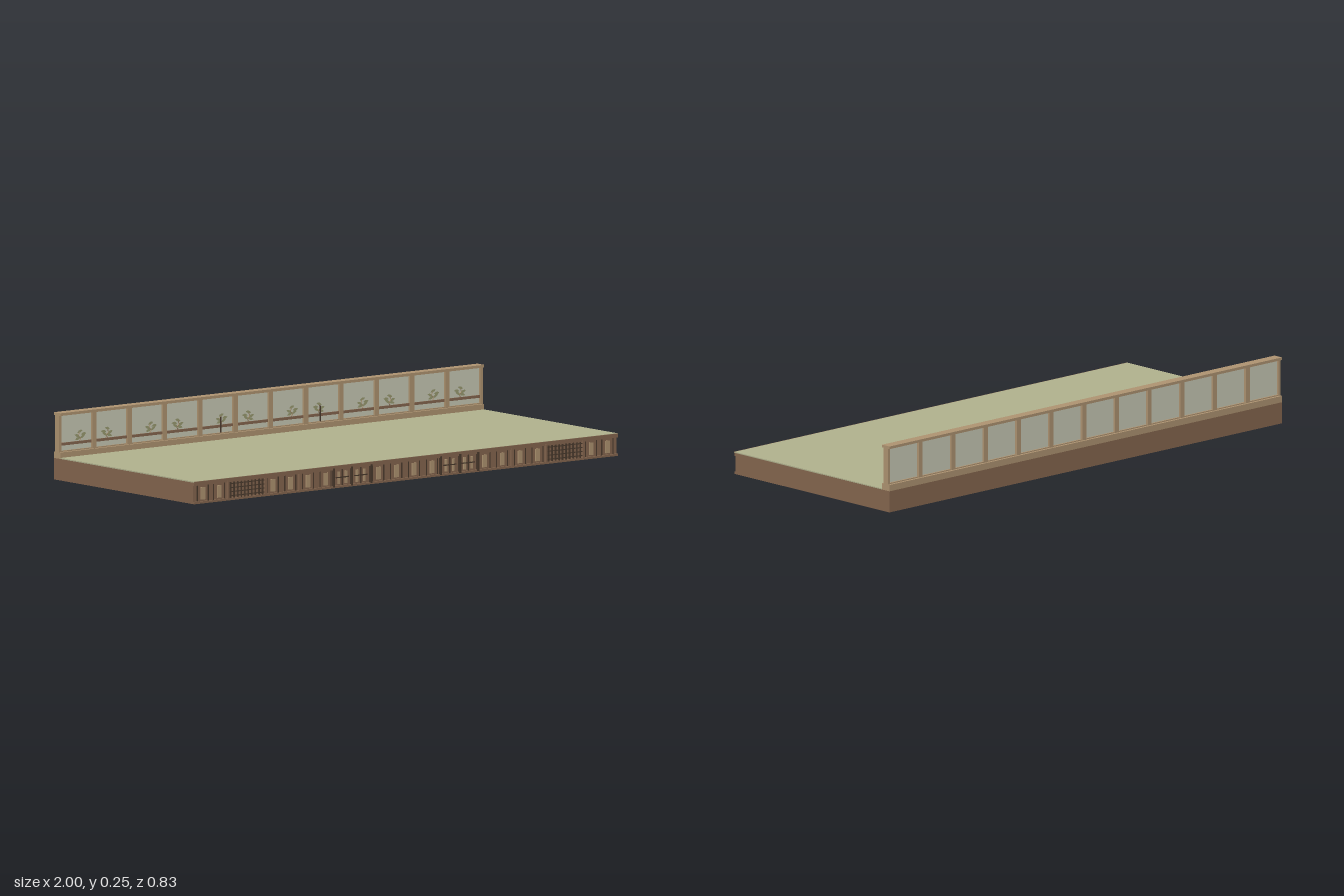
import * as THREE from 'three';

const mat = (name, color, side = THREE.FrontSide) => {
  const m = new THREE.MeshStandardMaterial({ color, side });
  m.name = name;
  return m;
};

export function createModel() {
  const model = new THREE.Group();
  model.name = 'stage';
  const wood = mat('brown wood', 0x86674f);
  const tan = mat('tan wood', 0xb09572);
  const straw = mat('straw mat', 0xb2b38f);
  const paper = mat('pale paper', 0xc9cab6);
  const dark = mat('dark wood', 0x4a3a2d);
  const green = mat('sage foliage', 0x9a9c72, THREE.DoubleSide);

  // Box given by its limits on each axis
  const box = (name, m, x0, x1, y0, y1, z0, z1, parent = model) => {
    const mesh = new THREE.Mesh(new THREE.BoxGeometry(x1 - x0, y1 - y0, z1 - z0), m);
    mesh.position.set((x0 + x1) / 2, (y0 + y1) / 2, (z0 + z1) / 2);
    mesh.name = name;
    parent.add(mesh);
    return mesh;
  };

  // Platform and floor
  box('platform', wood, -1, 1, 0, 0.08, -0.415, 0.406);
  box('floorMat', straw, -1, 1, 0.08, 0.084, -0.375, 0.411);
  box('floorEdge', wood, -1, 1, 0.078, 0.0835, 0.406, 0.415);

  // Back screen frame
  const screen = new THREE.Group();
  screen.name = 'backScreen';
  model.add(screen);
  box('bottomRail', tan, -1, 1, 0.08, 0.104, -0.415, -0.375, screen);
  box('topRail', tan, -1, 1, 0.24, 0.25, -0.415, -0.375, screen);
  const bay = 1 / 6;
  for (let i = 0; i <= 12; i++) {
    const x = -1 + i * bay;
    box('screenPost', tan, Math.max(-1, x - 0.01), Math.min(1, x + 0.01), 0.104, 0.24, -0.407, -0.383, screen);
  }

  // Bent twig with leaf clusters, painted on each panel
  const leafShape = new THREE.Shape();
  leafShape.moveTo(-0.013, 0);
  leafShape.quadraticCurveTo(0, 0.012, 0.013, 0);
  leafShape.quadraticCurveTo(0, -0.008, -0.013, 0);
  const leafGeo = new THREE.ShapeGeometry(leafShape, 4);
  const addPlant = (x, dir) => {
    const plant = new THREE.Group();
    plant.name = 'paintedPlant';
    const path = new THREE.CatmullRomCurve3([[0, 0.138], [0.006, 0.147], [-0.004, 0.157], [0.002, 0.172]]
      .map(([px, py]) => new THREE.Vector3(px * dir, py, 0)));
    const twig = new THREE.Mesh(new THREE.TubeGeometry(path, 8, 0.0018, 4), tan);
    twig.name = 'twig';
    plant.add(twig);
    for (const [lx, ly, tilt] of [[0.002, 0.172, 0.3], [-0.012, 0.157, -0.4], [0.014, 0.152, 0.5], [0.019, 0.162, 0.1], [-0.008, 0.146, 0.2]]) {
      const leaf = new THREE.Mesh(leafGeo, green);
      leaf.position.set(lx * dir, ly, 0.001);
      leaf.rotation.z = tilt * dir;
      leaf.name = 'leaf';
      plant.add(leaf);
    }
    plant.position.set(x, 0, -0.389);
    screen.add(plant);
  };

  // Twelve paper panels with a low rail in front
  for (let i = 0; i < 12; i++) {
    const x = -1 + (i + 0.5) * bay, w = bay / 2 - 0.01;
    box('paperPanel', paper, x - w, x + w, 0.104, 0.24, -0.398, -0.392, screen);
    box('panelRail', wood, x - w, x + w, 0.127, 0.137, -0.392, -0.387, screen);
    box('panelSill', tan, x - w, x + w, 0.104, 0.108, -0.405, -0.386, screen);
    const dir = i % 2 ? -1 : 1;
    addPlant(x + 0.017 * dir, dir);
  }
  for (const s of [-1, 1]) box('plantStake', dark, s * 0.235 - 0.002, s * 0.235 + 0.002, 0.108, 0.167, -0.387, -0.384, screen);

  // Front skirting
  const skirt = new THREE.Group();
  skirt.name = 'frontSkirting';
  model.add(skirt);
  box('skirtTopRail', wood, -1, 1, 0.068, 0.078, 0.406, 0.413, skirt);
  box('skirtBottomRail', wood, -1, 1, 0, 0.008, 0.406, 0.413, skirt);

  for (const s of [-1, 1]) {
    // Pale slats between narrow brown posts
    for (const x of [0.042, 0.127, 0.375, 0.458, 0.542, 0.625, 0.878, 0.955]) {
      const c = s * x;
      box('slat', tan, c - 0.01, c + 0.01, 0.014, 0.06, 0.406, 0.41, skirt);
      for (const d of [-0.026, 0.026])
        box('slatGroove', dark, c + d - 0.002, c + d + 0.002, 0.008, 0.068, 0.406, 0.408, skirt);
    }
    // Bay posts
    for (const x of [0.165, 0.255, 0.34, 0.5, 0.663, 0.838])
      box('bayPost', x < 0.45 ? dark : wood, s * x - 0.004, s * x + 0.004, 0.004, 0.074, 0.406, 0.415, skirt);
    // Outer lattice
    for (let i = 0; i < 10; i++) {
      const c = s * (0.675 + i * 0.0167);
      box('latticeBar', dark, c - 0.0018, c + 0.0018, 0.008, 0.068, 0.406, 0.412, skirt);
    }
    for (let j = 0; j < 4; j++) {
      const y = 0.016 + j * 0.015;
      box('latticeRail', dark, s * 0.75 - 0.085, s * 0.75 + 0.085, y - 0.0016, y + 0.0016, 0.406, 0.411, skirt);
    }
    // Small paired doors of the inner bays
    for (const x of [0.21, 0.297]) {
      const c = s * x;
      box('doorSlat', tan, c - 0.022, c - 0.012, 0.014, 0.06, 0.406, 0.41, skirt);
      box('doorSlat', tan, c + 0.012, c + 0.022, 0.014, 0.06, 0.406, 0.41, skirt);
      box('doorGap', dark, c - 0.002, c + 0.002, 0.008, 0.068, 0.406, 0.411, skirt);
      box('doorBar', dark, c - 0.03, c + 0.03, 0.036, 0.04, 0.406, 0.411, skirt);
    }
  }
  return model;
}
